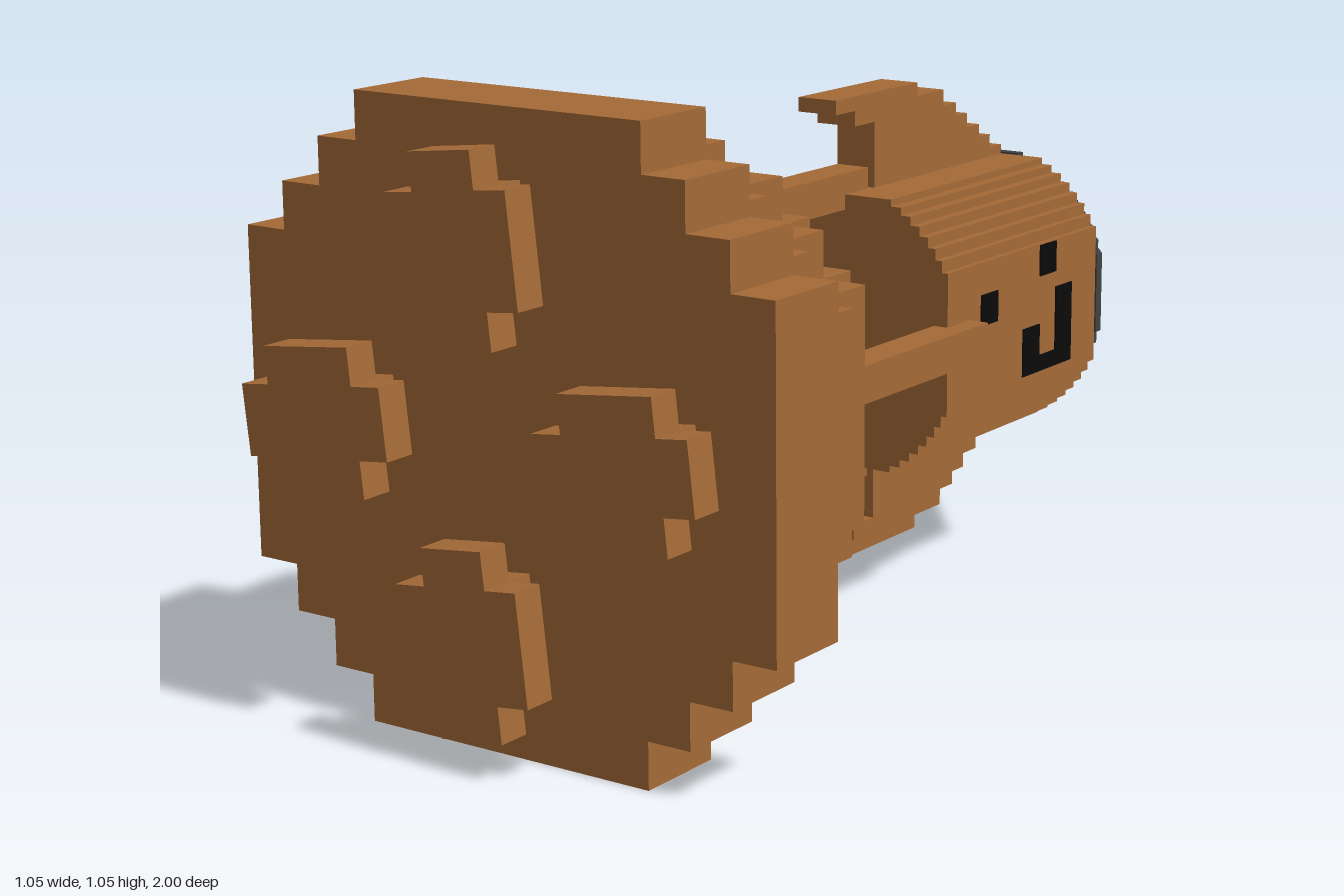
import * as THREE from 'three';

const CY = 0.528; // height of the long axis

const material = (color) => new THREE.MeshStandardMaterial({ color, flatShading: true });

function extrude(points, z0, z1) {
  const shape = new THREE.Shape(points.map(([x, y]) => new THREE.Vector2(x, y)));
  const g = new THREE.ExtrudeGeometry(shape, { depth: z1 - z0, bevelEnabled: false });
  return g.translate(0, 0, z0);
}

// Outline with a stepped corner, repeated in four quadrants.
// corners: outer corners of the steps, from the +y flat round to the +x flat.
function steppedOutline(corners) {
  const quadrant = [];
  corners.forEach(([x, y], i) => {
    quadrant.push([x, y]);
    if (i < corners.length - 1) quadrant.push([x, corners[i + 1][1]]);
  });
  const points = [];
  for (const [sx, sy] of [[1, 1], [1, -1], [-1, -1], [-1, 1]]) {
    const q = quadrant.map(([x, y]) => [x * sx, y * sy]);
    points.push(...(sx * sy > 0 ? q : q.reverse()));
  }
  return points;
}

// Corners on a straight diagonal (coarse blocks)
function diagonalCorners(r, flat, n) {
  return Array.from({ length: n }, (_, i) => {
    const d = ((r - flat) * i) / (n - 1);
    return [flat + d, r - d];
  });
}

// Corners on an arc (fine blocks)
function arcCorners(r, flat, n) {
  const rc = Math.hypot(r, flat);
  const a0 = Math.atan2(flat, r);
  return Array.from({ length: n }, (_, i) => {
    const a = a0 + ((Math.PI / 2 - 2 * a0) * i) / (n - 1);
    return [rc * Math.sin(a), rc * Math.cos(a)];
  });
}

export function createModel() {
  const model = new THREE.Group();
  const brown = material(0xa56a37);
  const dark = material(0x424242);
  const black = material(0x0a0a0a);

  const add = (name, geometry, mat, parent = model) => {
    const mesh = new THREE.Mesh(geometry, mat);
    mesh.name = name;
    parent.add(mesh);
    return mesh;
  };
  const group = (name) => {
    const g = new THREE.Group();
    g.name = name;
    g.position.y = CY;
    model.add(g);
    return g;
  };

  // Stepped base: discs that shrink towards the body
  const base = group('base');
  const u = 0.081;
  for (const [r, flat, n, z0, z1] of [
    [6.5, 3.5, 4, 0.725, 0.89],
    [5.5, 2.5, 4, 0.563, 0.725],
    [4.5, 2.5, 3, 0.403, 0.563],
    [3.5, 2.5, 2, 0.322, 0.403],
  ]) {
    add('baseLayer', extrude(steppedOutline(diagonalCorners(r * u, flat * u, n)), z0, z1), brown, base);
  }

  // Four cross-shaped nozzles, each on a narrower neck
  const nozzles = group('nozzles');
  for (const [x, y, tall, z] of [
    [0, 0.315, true, 0.94], [0.002, -0.313, true, 0.94],
    [-0.302, 0.002, false, 0.93], [0.297, 0.006, false, 0.93],
  ]) {
    const nozzle = new THREE.Group();
    nozzle.name = 'nozzle';
    nozzle.position.set(x, y, 0);
    nozzle.rotation.z = THREE.MathUtils.degToRad(6.5);
    nozzles.add(nozzle);
    const corners = tall ? [[0.062, 0.155], [0.123, 0.093]] : [[0.09, 0.123], [0.148, 0.06]];
    add('nozzleMouth', extrude(steppedOutline(corners), z, z + 0.06), brown, nozzle);
    const [w, h] = tall ? [0.062, 0.093] : [0.09, 0.06];
    add('nozzleNeck', extrude(steppedOutline([[w, h]]), 0.885, z), brown, nozzle);
  }

  // Four struts between base and body
  const struts = group('struts');
  for (let i = 0; i < 4; i++) {
    const a = (i * Math.PI) / 2;
    const strut = add('strut', new THREE.BoxGeometry(0.066, 0.066, 0.44), brown, struts);
    strut.position.set(0.255 * Math.cos(a), 0.255 * Math.sin(a), 0.105);
  }

  // Body with finely stepped round section
  const body = group('body');
  add('bodyShell', extrude(steppedOutline(arcCorners(0.25, 0.13, 8)), -0.575, -0.04), brown, body);

  // Nose cone in thin stepped layers
  const nose = group('noseCone');
  const layers = 21;
  for (let i = 0; i < layers; i++) {
    const r = 0.253 * (1 - i / layers);
    const step = 0.425 / layers;
    const n = Math.max(2, Math.round(r / 0.023));
    const z1 = -0.575 - i * step;
    add('noseLayer', extrude(steppedOutline(arcCorners(r, r * 0.3, n)), z1 - step, z1), dark, nose);
  }

  // Swept fins above and below, drawn as (distance forward, radius)
  const finOutline = [
    [0, 0.424], [0.27, 0.424], [0.27, 0.4], [0.36, 0.4], [0.36, 0.37], [0.405, 0.37],
    [0.405, 0.345], [0.445, 0.345], [0.445, 0.318], [0.49, 0.318], [0.49, 0.293],
    [0.53, 0.293], [0.53, 0.268], [0.572, 0.268], [0.572, 0.2], [0.125, 0.2],
    [0.125, 0.37], [0.06, 0.37], [0.06, 0.398], [0, 0.398],
  ];
  const fins = group('fins');
  for (const turn of [0, Math.PI]) {
    const g = extrude(finOutline, -0.04, 0.04).rotateY(Math.PI / 2).rotateZ(turn);
    add('fin', g, brown, fins);
  }

  // Face of dark blocks on each side: [z from, z to, y from, y to]
  const faces = group('faces');
  for (const turn of [0, Math.PI]) {
    const face = new THREE.Group();
    face.name = 'face';
    face.rotation.z = turn;
    faces.add(face);
    for (const [name, z0, z1, y0, y1] of [
      ['eye', -0.21, -0.153, 0.014, 0.071],
      ['eye', -0.42, -0.362, 0.07, 0.128],
      ['mouthSide', -0.48, -0.422, -0.11, 0.04],
      ['mouthMiddle', -0.422, -0.362, -0.11, -0.08],
      ['mouthEnd', -0.362, -0.303, -0.11, -0.02],
    ]) {
      const block = add(name, new THREE.BoxGeometry(0.02, y1 - y0, z1 - z0), black, face);
      block.position.set(0.243, (y0 + y1) / 2, (z0 + z1) / 2);
    }
  }

  return model;
}
